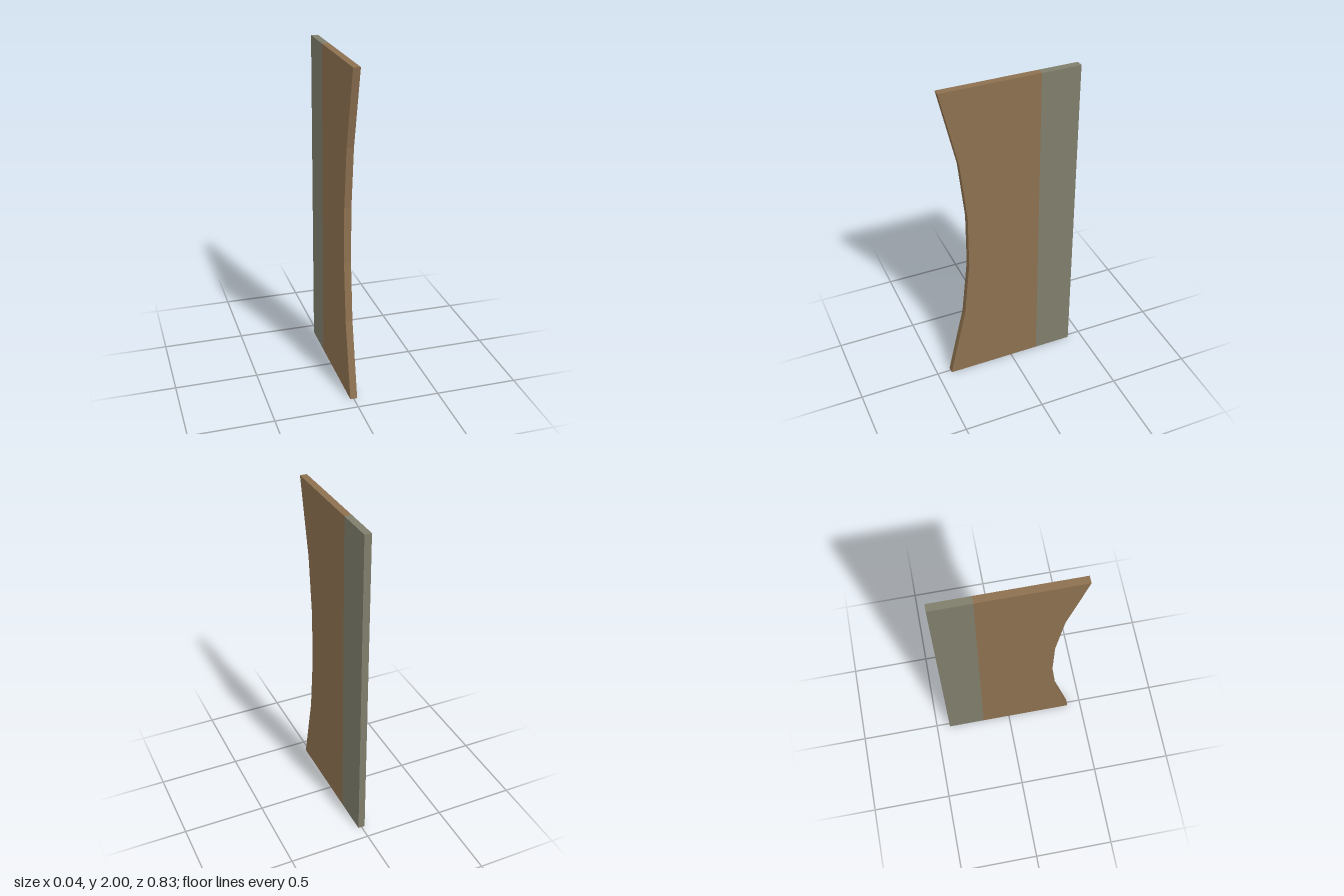
import * as THREE from 'three';

const THICK = 0.042, BACK = -0.413, SEAM = -0.178;

// Extrude a (z, y) outline sideways, centred on x = 0
function panel(name, outline, material) {
  const shape = new THREE.Shape(outline.map(([z, y]) => new THREE.Vector2(z, y)));
  const geometry = new THREE.ExtrudeGeometry(shape, { depth: THICK, bevelEnabled: false });
  geometry.translate(0, 0, -THICK / 2).rotateY(-Math.PI / 2);
  const mesh = new THREE.Mesh(geometry, material);
  mesh.name = name;
  return mesh;
}

export function createModel() {
  const brown = new THREE.MeshStandardMaterial({ name: 'brown', color: 0x8d7150 });
  const greyGreen = new THREE.MeshStandardMaterial({ name: 'greyGreen', color: 0x807e6c });

  // Lower half of the faceted concave front edge, mirrored about y = 1
  const lower = [[0.413, 0], [0.308, 0.465], [0.27, 0.83]];
  const upper = lower.map(([z, y]) => [z, 2 - y]).reverse();

  const model = new THREE.Group();
  model.name = 'curvedBoard';
  model.add(
    panel('frontBoard', [[SEAM, 0], ...lower, ...upper, [SEAM, 2]], brown),
    panel('backStrip', [[BACK, 0], [SEAM, 0], [SEAM, 2], [BACK, 2]], greyGreen),
  );
  return model;
}
